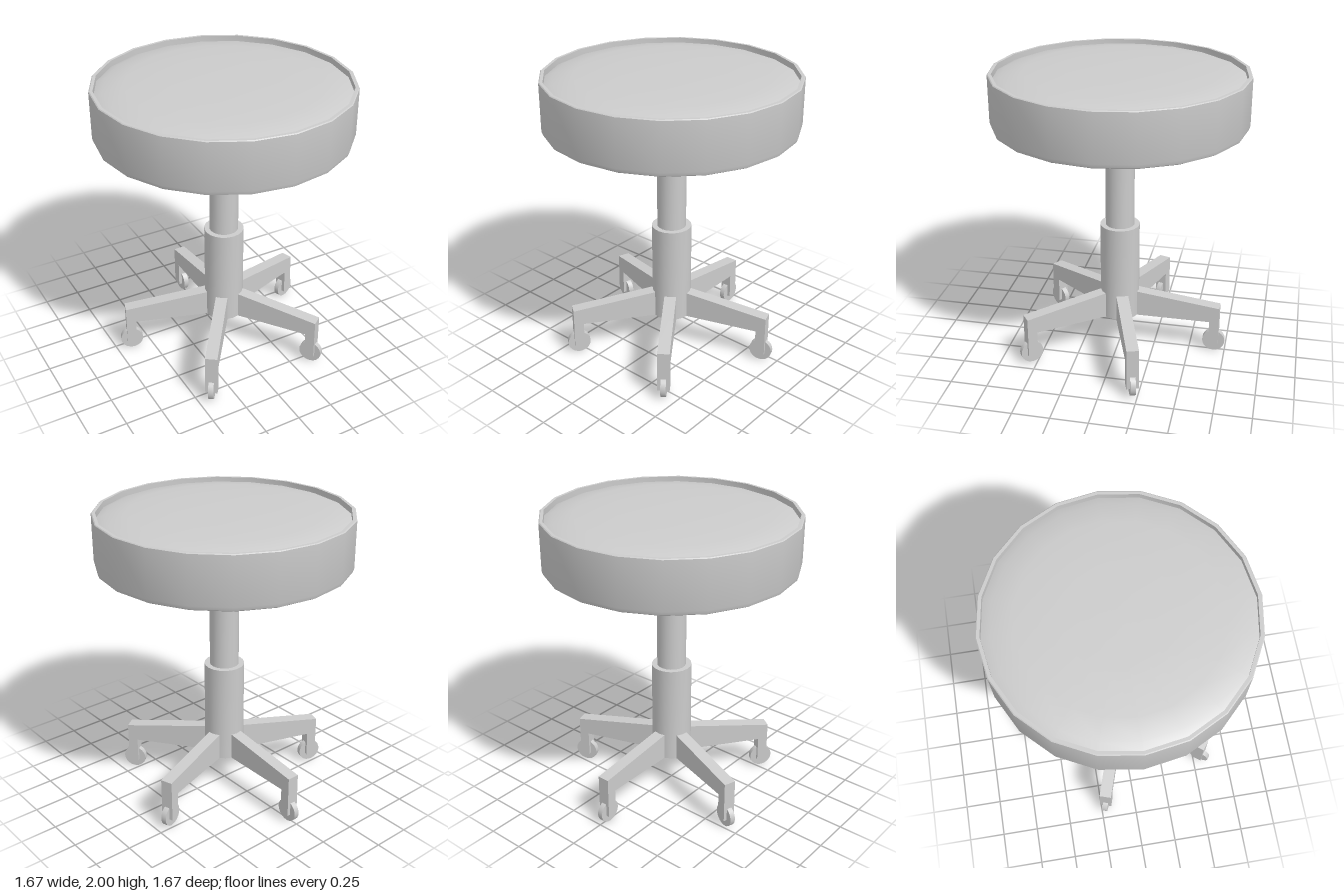
import * as THREE from 'three';
import { toCreasedNormals } from 'three/addons/utils/BufferGeometryUtils.js';

const grey = new THREE.MeshStandardMaterial({ color: 0xcccccc });

function part(name, geometry) {
  const mesh = new THREE.Mesh(toCreasedNormals(geometry, 0.5), grey);
  mesh.name = name;
  return mesh;
}

function column(name, radius, bottom, top) {
  const geometry = new THREE.CylinderGeometry(radius, radius, top - bottom, 20);
  return part(name, geometry.translate(0, (top + bottom) / 2, 0));
}

// Round seat: rounded lower edge, thin rim, and a shallow domed cushion sunk inside it
function createSeat() {
  const profile = [
    [0, 1.635], [0.81, 1.635], [0.828, 1.645], [0.836, 1.67], [0.836, 1.98],
    [0.83, 1.985], [0.81, 1.985], [0.81, 1.945], [0.755, 1.967],
    [0.62, 1.985], [0.35, 1.994], [0, 2],
  ].map(([x, y]) => new THREE.Vector2(x, y));
  return part('seat', new THREE.LatheGeometry(profile, 20));
}

// One leg along +x: tapered arm with a downward post, and a caster wheel
function createLeg() {
  const width = 0.082;
  const outline = new THREE.Shape([
    [0, 0.235], [0.638, 0.235], [0.638, 0.058], [0.705, 0.058],
    [0.705, 0.346], [0.13, 0.42], [0, 0.435],
  ].map(([x, y]) => new THREE.Vector2(x, y)));
  const arm = new THREE.ExtrudeGeometry(outline, { depth: width, bevelEnabled: false });
  arm.translate(0, 0, -width / 2);

  const wheel = new THREE.CylinderGeometry(0.078, 0.078, 0.036, 24);
  wheel.rotateX(Math.PI / 2).translate(0.671, 0.078, 0);

  const leg = new THREE.Group();
  leg.name = 'leg';
  leg.add(part('legArm', arm), part('casterWheel', wheel));
  return leg;
}

export function createModel() {
  const stool = new THREE.Group();
  stool.name = 'stool';
  stool.add(createSeat());
  stool.add(column('innerColumn', 0.098, 0.9, 1.64));
  stool.add(column('outerSleeve', 0.135, 0.235, 0.918));

  // Five legs, the first pointing straight back
  for (let i = 0; i < 5; i++) {
    const leg = createLeg();
    leg.rotation.y = Math.PI / 2 + (i * Math.PI * 2) / 5;
    stool.add(leg);
  }
  return stool;
}
